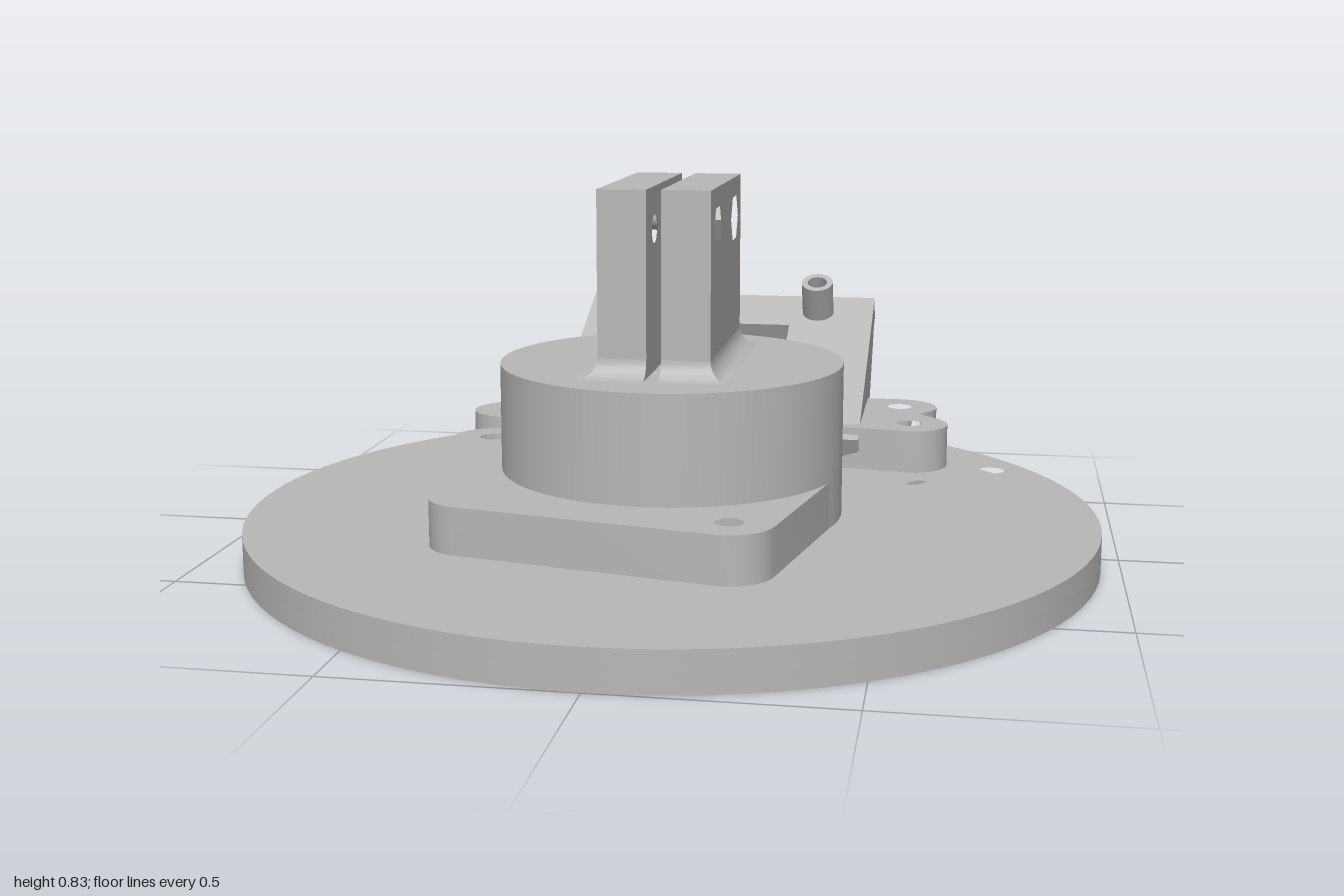
import * as THREE from 'three';
import { toCreasedNormals } from 'three/addons/utils/BufferGeometryUtils.js';

const grey = new THREE.MeshStandardMaterial({ color: 0xb8b8b8 });
const HOLE = 0.031, HEX = 0.056, ZC = 0.042;

// Points around a circle or part of it, angles in degrees
function ring(x, y, r, n = 28, from = 0, to = 360) {
  const pts = [];
  const count = to - from === 360 ? n : n + 1;
  for (let i = 0; i < count; i++) {
    const a = THREE.MathUtils.degToRad(from + (to - from) * i / n);
    pts.push(new THREE.Vector2(x + r * Math.cos(a), y + r * Math.sin(a)));
  }
  return pts;
}

const points = list => list.map(([x, y]) => new THREE.Vector2(x, y));

// Convex outline around a set of points
function hull(pts) {
  const sorted = [...pts].sort((a, b) => a.x - b.x || a.y - b.y);
  const chain = list => {
    const out = [];
    for (const p of list) {
      while (out.length > 1) {
        const a = out[out.length - 2], b = out[out.length - 1];
        if ((b.x - a.x) * (p.y - a.y) - (b.y - a.y) * (p.x - a.x) > 0) break;
        out.pop();
      }
      out.push(p);
    }
    out.pop();
    return out;
  };
  return [...chain(sorted), ...chain(sorted.reverse())];
}

function extrude(outline, holes, depth) {
  const shape = new THREE.Shape(outline);
  shape.holes = holes.map(h => new THREE.Path(h));
  return new THREE.ExtrudeGeometry(shape, { depth, bevelEnabled: false });
}

function part(parent, name, geometry) {
  const mesh = new THREE.Mesh(toCreasedNormals(geometry, 0.5), grey);
  mesh.name = name;
  parent.add(mesh);
  return mesh;
}

// Horizontal slab; outline and holes are in (x, z)
function slab(parent, name, outline, holes, y0, y1) {
  const flip = list => list.map(p => new THREE.Vector2(p.x, -p.y));
  const g = extrude(flip(outline), holes.map(flip), y1 - y0).rotateX(-Math.PI / 2);
  return part(parent, name, g.translate(0, y0, 0));
}

// Upright slab; outline and holes are in (z, y), thickness runs along x
function upright(parent, name, outline, holes, x0, x1) {
  const flip = list => list.map(p => new THREE.Vector2(-p.x, p.y));
  const g = extrude(flip(outline), holes.map(flip), x1 - x0).rotateY(Math.PI / 2);
  return part(parent, name, g.translate(x0, 0, 0));
}

// Concave fillet around the three outer sides of a clamp tab
function filletGeometry(side) {
  const r = 0.042, steps = 7, pos = [], rows = [];
  for (let i = 0; i <= steps; i++) {
    const a = i / steps * Math.PI / 2;
    const o = r * (1 - Math.sin(a)), y = 0.43 + r * (1 - Math.cos(a));
    const xi = side * 0.016, xo = side * (0.122 + o), h = 0.23 + o;
    const row = [[xi, y, ZC + h], [xo, y, ZC + h], [xo, y, ZC - h], [xi, y, ZC - h]];
    rows.push(side > 0 ? row : row.reverse());
  }
  for (let i = 0; i < steps; i++) for (let k = 0; k < 4; k++) {
    const j = (k + 1) % 4, a = rows[i], b = rows[i + 1];
    pos.push(...a[k], ...a[j], ...b[j], ...a[k], ...b[j], ...b[k]);
  }
  const g = new THREE.BufferGeometry();
  g.setAttribute('position', new THREE.Float32BufferAttribute(pos, 3));
  return g;
}

export function createModel() {
  const model = new THREE.Group();
  model.name = 'mountingBase';

  // Round base with bolt holes; most have hexagonal nut pockets underneath
  const flangeHoles = [[-0.476, -0.16], [-0.365, 0.40], [0.197, 0.513]];
  const earHoles = [[0.48, -0.683], [0.513, -0.48]];
  const pockets = [...flangeHoles, ...earHoles, ...earHoles.map(([x, z]) => [-x, z]),
    [0.72, -0.444], [0.72, 0.515], [0.515, 0.55]];
  const plain = [[-0.55, -0.28], [0.55, -0.28], [0, 0.672]];
  const round = ([x, z]) => ring(x, z, HOLE, 20);
  const hex = ([x, z]) => ring(x, z, HEX, 6);
  const disc = ring(0, ZC, 0.957, 96);
  slab(model, 'baseLower', disc, [...pockets.map(hex), ...plain.map(round)], 0, 0.045);
  slab(model, 'baseUpper', disc, [...pockets, ...plain].map(round), 0.045, 0.086);

  // Flange hugging the pedestal and three bolt bosses
  const bosses = flangeHoles.flatMap(([x, z]) => ring(x, z, 0.095, 32));
  slab(model, 'flange', hull([...bosses, ...ring(0, ZC, 0.383, 72)]),
    flangeHoles.map(round), 0.086, 0.19);
  const pedestal = part(model, 'pedestal',
    new THREE.CylinderGeometry(0.385, 0.385, 0.345, 72));
  pedestal.position.set(0, 0.2575, ZC);

  // Pair of clamp tabs, with nut pockets on the left one
  const tab = points([[ZC - 0.23, 0.43], [ZC + 0.23, 0.43], [ZC + 0.23, 0.832], [ZC - 0.23, 0.832]]);
  const bolts = [[0.172, 0.74], [-0.087, 0.74]];
  upright(model, 'rightTab', tab, bolts.map(round), -0.122, -0.016);
  upright(model, 'leftTabInner', tab, bolts.map(round), 0.016, 0.075);
  upright(model, 'leftTabOuter', tab, bolts.map(hex), 0.075, 0.122);
  for (const s of [-1, 1]) part(model, s > 0 ? 'leftTabFillet' : 'rightTabFillet', filletGeometry(s));

  // Sloping bracket behind the pedestal
  const bracket = new THREE.Group();
  bracket.name = 'bracket';
  model.add(bracket);

  // Tilted plate with a stepped window; y runs up the slope from its top edge
  const plate = new THREE.Group();
  plate.name = 'slopingPlate';
  plate.position.set(0, 0.433, -0.97);
  plate.rotation.x = THREE.MathUtils.degToRad(-65);
  bracket.add(plate);
  const outline = points([[-0.392, -0.64], [0.392, -0.64], [0.392, 0], [-0.392, 0]]);
  const windowCut = points([[-0.175, -0.486], [0.17, -0.486], [0.17, -0.143], [-0.175, -0.143],
    [-0.175, -0.103], [-0.32, -0.103], [-0.32, -0.287], [-0.175, -0.287]]);
  const posts = [];
  for (const x of [-0.243, 0.243]) for (const y of [-0.077, -0.57]) posts.push([x, y]);
  const bore = ([x, y]) => ring(x, y, 0.026, 20);
  part(plate, 'plateTop', extrude(outline, [windowCut, ...posts.map(bore)], 0.038).translate(0, 0, -0.038));
  part(plate, 'plateUnderside', extrude(outline,
    [windowCut, ...posts.map(([x, y]) => ring(x, y, 0.048, 6))], 0.03).translate(0, 0, -0.068));
  for (const [x, y] of posts) {
    const tube = extrude(ring(x, y, 0.042, 28), [bore([x, y])], 0.097);
    part(plate, 'standoff', tube);
  }

  // Side walls and bolt ears, mirrored
  const wall = points([[-0.998, 0.371], [-0.783, 0.086], [-0.42, 0.086], [-0.42, 0.10]]);
  for (const s of [-1, 1]) {
    const side = s > 0 ? 'left' : 'right';
    const x0 = s > 0 ? 0.315 : -0.391;
    upright(bracket, side + 'Wall', wall, [], x0, x0 + 0.076);
    const [a, b] = earHoles;
    const ear = [...points([[0.32, -0.778]]), ...ring(...a, 0.095, 14, -90, 35),
      ...points([[0.535, -0.598]]), ...ring(...b, 0.095, 14, -38, 82),
      ...points([[0.33, -0.415], [0.33, -0.45], [0.36, -0.46], [0.36, -0.7], [0.32, -0.7]])];
    const mirror = list => list.map(p => new THREE.Vector2(s * p.x, p.y));
    slab(bracket, side + 'Ear', mirror(ear), earHoles.map(h => mirror(round(h))), 0.086, 0.19);
  }

  // Crossbar joining the walls at the back
  const bar = part(bracket, 'crossbar', new THREE.BoxGeometry(0.64, 0.104, 0.125));
  bar.position.set(0, 0.138, -0.722);

  return model;
}
